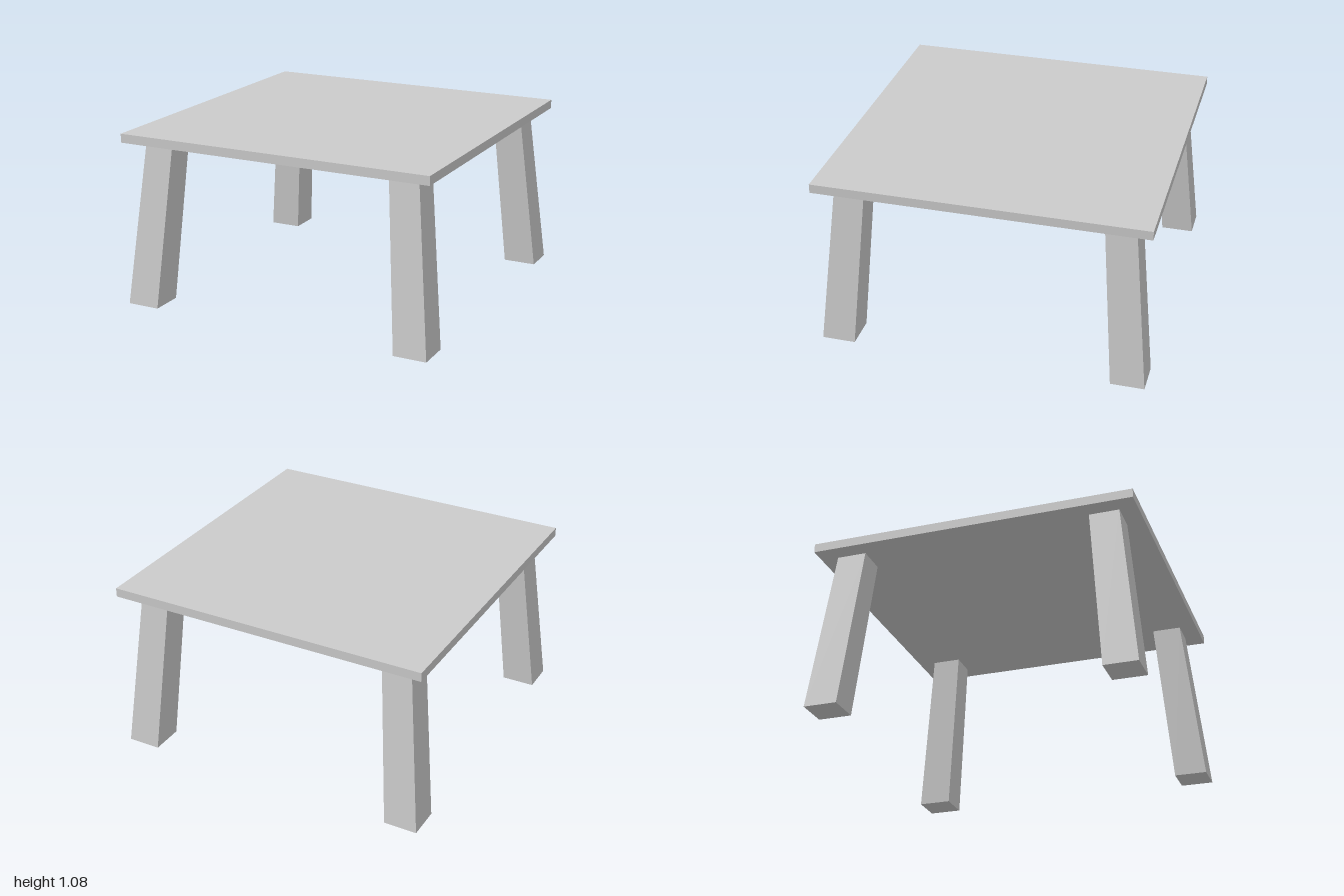
import * as THREE from 'three';

const LEG_HEIGHT = 1.025, TOP_THICKNESS = 0.055;
const FOOT = { center: 0.895, width: 0.205 };
const HEAD = { center: 0.8, width: 0.183 };

// Square leg that tapers slightly and leans inward towards the top
function legGeometry(sx, sz) {
  const geometry = new THREE.BoxGeometry(1, 1, 1);
  const p = geometry.attributes.position;
  for (let i = 0; i < p.count; i++) {
    const end = p.getY(i) > 0 ? HEAD : FOOT;
    p.setXYZ(
      i,
      sx * end.center + p.getX(i) * end.width,
      p.getY(i) > 0 ? LEG_HEIGHT : 0,
      sz * end.center + p.getZ(i) * end.width
    );
  }
  geometry.computeVertexNormals();
  return geometry;
}

export function createModel() {
  const table = new THREE.Group();
  table.name = 'table';
  const material = new THREE.MeshStandardMaterial({ color: 0xcccccc, flatShading: true });

  // Thin square top
  const top = new THREE.Mesh(new THREE.BoxGeometry(2, TOP_THICKNESS, 2), material);
  top.name = 'tableTop';
  top.position.y = LEG_HEIGHT + TOP_THICKNESS / 2;
  table.add(top);

  // Four splayed legs
  for (const sx of [-1, 1]) {
    for (const sz of [-1, 1]) {
      const leg = new THREE.Mesh(legGeometry(sx, sz), material);
      leg.name = (sz > 0 ? 'front' : 'back') + (sx > 0 ? 'Left' : 'Right') + 'Leg';
      table.add(leg);
    }
  }
  return table;
}
